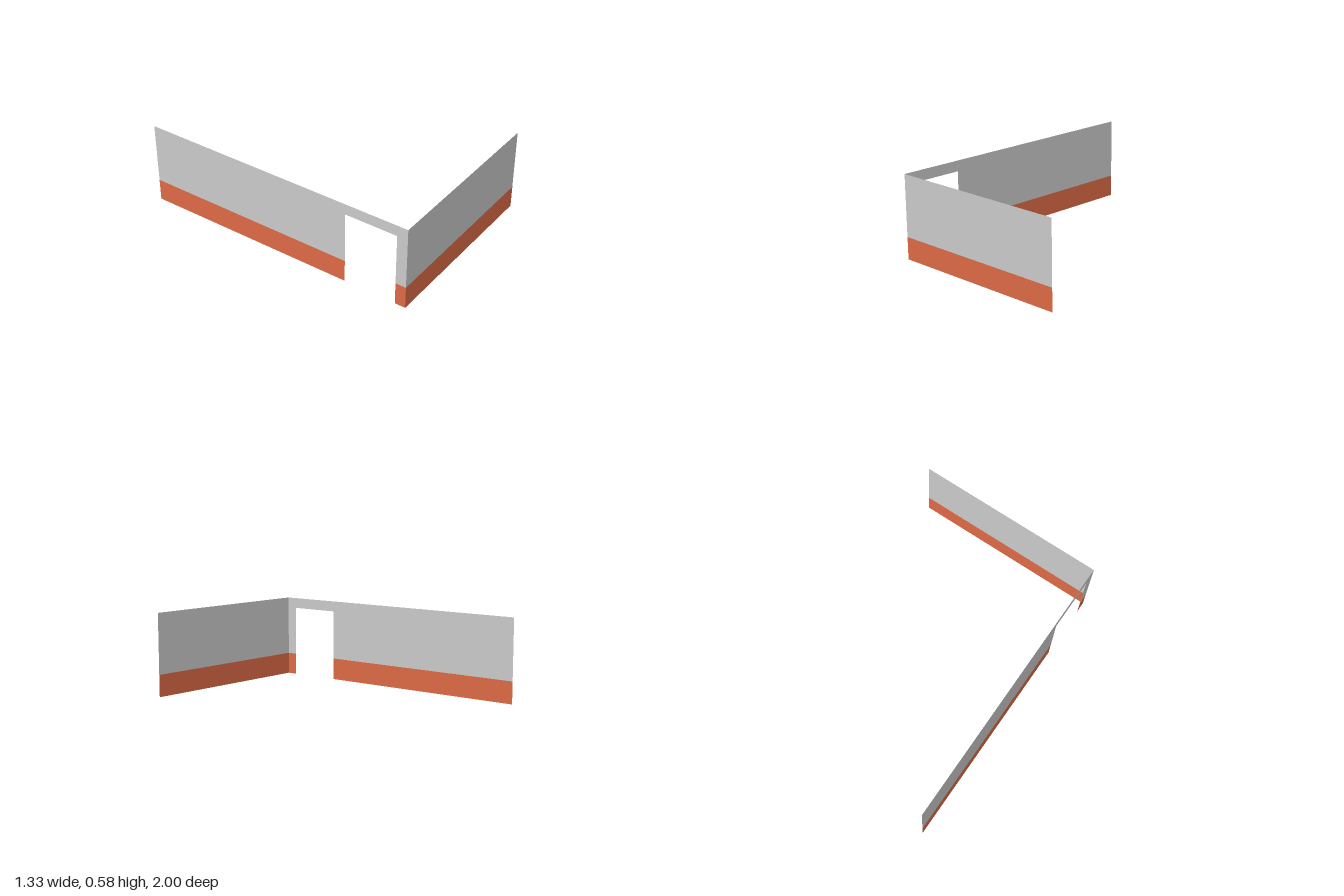
import * as THREE from 'three';

const HALF_W = 0.665, HALF_D = 1, HEIGHT = 0.585, BAND = 0.156;
// doorway, measured along the side wall from its back end
const DOOR = { from: 1.55, to: 1.925, top: 0.51 };

const plaster = new THREE.MeshStandardMaterial({ color: 0xcccccc, side: THREE.DoubleSide });
const brick = new THREE.MeshStandardMaterial({ color: 0xde6b46, side: THREE.DoubleSide });

// Thin flat panel from a 2D outline
function panel(name, points, material) {
  const shape = new THREE.Shape(points.map(([x, y]) => new THREE.Vector2(x, y)));
  const mesh = new THREE.Mesh(new THREE.ShapeGeometry(shape), material);
  mesh.name = name;
  return mesh;
}

const rect = (x0, x1, y0, y1) => [[x0, y0], [x1, y0], [x1, y1], [x0, y1]];

export function createModel() {
  const model = new THREE.Group();
  model.name = 'cornerWalls';

  // Front wall: coloured base band with plain wall above
  const front = new THREE.Group();
  front.name = 'frontWall';
  front.position.z = HALF_D;
  front.add(
    panel('frontBaseBand', rect(-HALF_W, HALF_W, 0, BAND), brick),
    panel('frontUpperWall', rect(-HALF_W, HALF_W, BAND, HEIGHT), plaster),
  );

  // Side wall: the doorway interrupts the band and notches the upper wall
  const side = new THREE.Group();
  side.name = 'sideWall';
  side.position.set(-HALF_W, 0, -HALF_D);
  side.rotation.y = -Math.PI / 2;
  const length = 2 * HALF_D;
  side.add(
    panel('sideBaseBandLong', rect(0, DOOR.from, 0, BAND), brick),
    panel('sideBaseBandShort', rect(DOOR.to, length, 0, BAND), brick),
    panel('sideUpperWall', [
      [0, BAND], [DOOR.from, BAND], [DOOR.from, DOOR.top], [DOOR.to, DOOR.top],
      [DOOR.to, BAND], [length, BAND], [length, HEIGHT], [0, HEIGHT],
    ], plaster),
  );

  model.add(front, side);
  return model;
}
